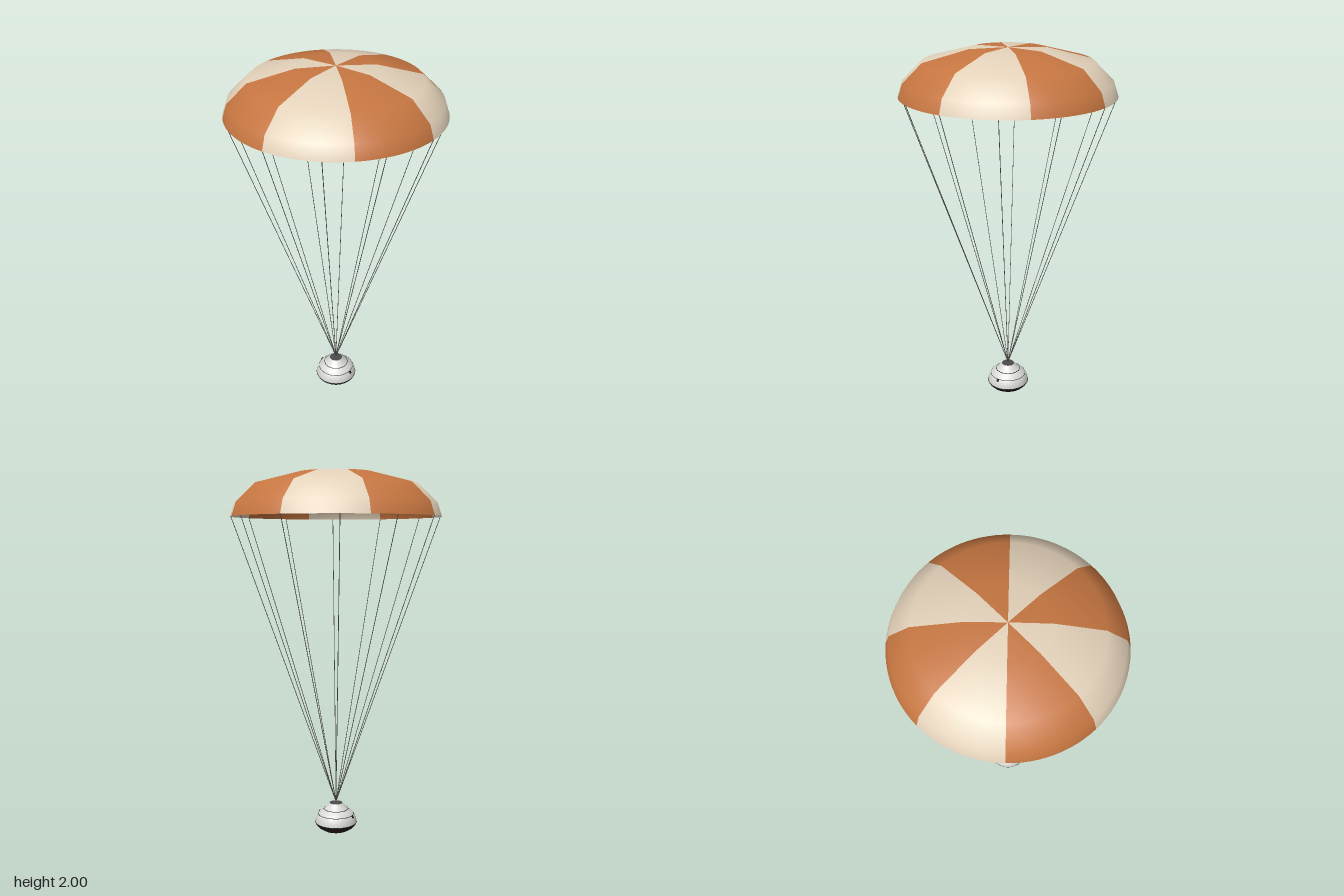
import * as THREE from 'three';

const material = (name, color, side = THREE.FrontSide) => {
  const m = new THREE.MeshStandardMaterial({ color, side });
  m.name = name;
  return m;
};

export function createModel() {
  const orange = material('orange fabric', 0xc67641, THREE.DoubleSide);
  const cream = material('cream fabric', 0xe4d2ba, THREE.DoubleSide);
  const cord = material('cord grey', 0x4c4a4a);
  const white = material('hull white', 0xd9dad6);
  const shield = material('heat shield brown', 0x2b1d1d);
  const black = material('trim black', 0x1c1c1e);

  const model = new THREE.Group();
  model.name = 'parachuteCapsule';
  const add = (name, geometry, mat, parent = model) => {
    const mesh = new THREE.Mesh(geometry, mat);
    mesh.name = name;
    parent.add(mesh);
    return mesh;
  };
  const points = (list) => list.map(([r, y]) => new THREE.Vector2(r, y));

  // Canopy: eight gores of alternating colour, open underneath
  const canopy = new THREE.Group();
  canopy.name = 'canopy';
  model.add(canopy);
  const canopyProfile = points([[0.565, 1.76], [0.541, 1.833], [0.438, 1.933], [0.2, 1.995], [0, 2]]);
  for (let i = 0; i < 8; i++) {
    const gore = new THREE.LatheGeometry(canopyProfile, 12, i * Math.PI / 4, Math.PI / 4);
    add('gore' + (i + 1), gore, i % 2 ? orange : cream, canopy);
  }

  // Suspension lines: twelve cords from the rim to one point above the capsule
  const lines = new THREE.Group();
  lines.name = 'suspensionLines';
  model.add(lines);
  const knot = new THREE.Vector3(0, 0.175, 0);
  const up = new THREE.Vector3(0, 1, 0);
  for (let i = 0; i < 12; i++) {
    const a = i * Math.PI / 6;
    const rim = new THREE.Vector3(0.563 * Math.cos(a), 1.762, 0.563 * Math.sin(a));
    const dir = rim.clone().sub(knot);
    const line = add('line' + (i + 1), new THREE.CylinderGeometry(0.0018, 0.0018, dir.length(), 6), cord, lines);
    line.position.copy(rim).add(knot).multiplyScalar(0.5);
    line.quaternion.setFromUnitVectors(up, dir.normalize());
  }

  // Capsule: rounded heat shield below, stepped hull above
  const capsule = new THREE.Group();
  capsule.name = 'capsule';
  model.add(capsule);
  add('heatShield', new THREE.LatheGeometry(points(
    [[0, 0], [0.035, 0.003], [0.068, 0.012], [0.095, 0.028], [0.111, 0.044], [0.117, 0.056]]), 40), shield, capsule);
  add('hull', new THREE.LatheGeometry(points(
    [[0.117, 0.056], [0.115, 0.075], [0.109, 0.092], [0.1, 0.108], [0.087, 0.122],
      [0.068, 0.135], [0.05, 0.152], [0.036, 0.168]]), 40), white, capsule);
  add('topHatch', new THREE.CylinderGeometry(0.034, 0.036, 0.004, 32), cord, capsule).position.y = 0.168;

  // Seam rings round the hull
  for (const [r, y] of [[0.1165, 0.058], [0.1, 0.106], [0.068, 0.134]]) {
    const ring = add('seamRing', new THREE.TorusGeometry(r, 0.002, 6, 40), black, capsule);
    ring.rotation.x = Math.PI / 2;
    ring.position.y = y;
  }

  // Small window on each side
  for (const side of [-1, 1]) {
    const window = add(side > 0 ? 'leftWindow' : 'rightWindow', new THREE.BoxGeometry(0.008, 0.016, 0.012), black, capsule);
    window.position.set(side * 0.105, 0.1, 0);
    window.rotation.z = side * 0.5;
  }
  return model;
}
